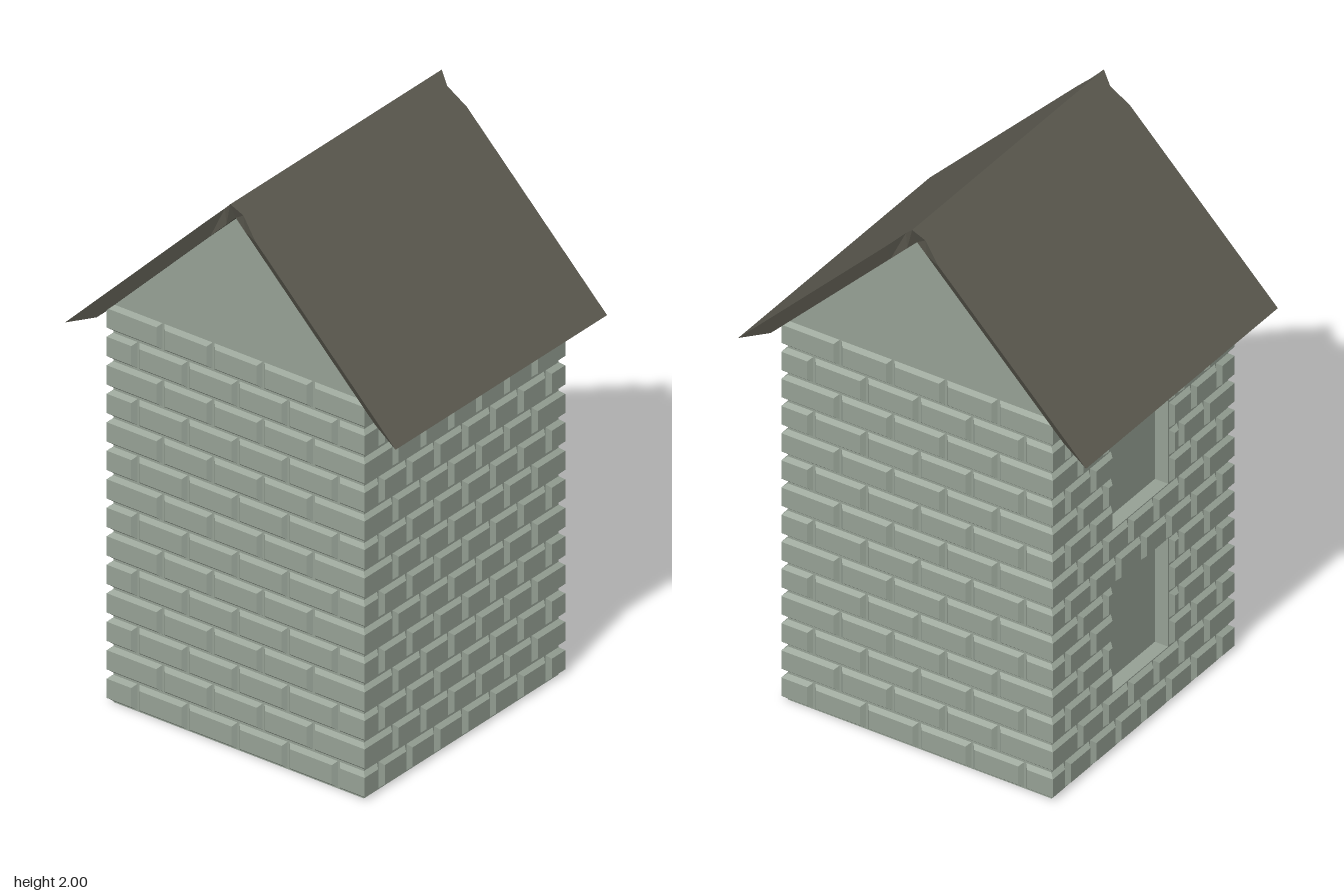
import * as THREE from 'three';

const BASE = 0.5, OUT = 0.515;      // mortar plane and brick face
const ROWS = 14, ROW_H = 1.447 / ROWS;
const NICHE_HALF = 0.16, NICHE_BACK = 0.45;
const NICHES = [[2, 6], [8, 12]];   // first row and end row of each window niche

const stone = new THREE.MeshStandardMaterial({ color: 0x96a195, side: THREE.DoubleSide });
stone.name = 'greyGreenStone';
const slate = new THREE.MeshStandardMaterial({ color: 0x5c5a50, side: THREE.DoubleSide });
slate.name = 'darkSlate';

// Collects quads and triangles into one faceted mesh
function facets(name, material, fill) {
  const p = [];
  const tri = (a, b, c) => p.push(...a, ...b, ...c);
  const quad = (a, b, c, d) => { tri(a, b, c); tri(a, c, d); };
  fill(quad, tri);
  const g = new THREE.BufferGeometry();
  g.setAttribute('position', new THREE.Float32BufferAttribute(p, 3));
  g.computeVertexNormals();
  const m = new THREE.Mesh(g, material);
  m.name = name;
  return m;
}

const rect = (x0, x1, y0, y1, z) => [[x0, y0, z], [x1, y0, z], [x1, y1, z], [x0, y1, z]];

function bridge(quad, outer, inner) {
  for (let i = 0; i < 4; i++) {
    const j = (i + 1) % 4;
    quad(outer[i], outer[j], inner[j], inner[i]);
  }
}

// One brick: mortar border, bevel and raised face; wall ends meet at the corner
function brick(quad, x0, x1, y0, y1) {
  const left = x0 <= -BASE + 1e-4, right = x1 >= BASE - 1e-4;
  const ring = (inset, z) => rect(
    left ? -z : x0 + inset, right ? z : x1 - inset, y0 + inset, y1 - inset, z);
  const mortar = ring(0, BASE), foot = ring(0.004, BASE), face = ring(0.017, OUT);
  bridge(quad, mortar, foot);
  bridge(quad, foot, face);
  quad(...face);
}

// A wall facing +z with running-bond bricks, optionally with two niches
function wall(name, count, niches, angle) {
  const m = facets(name, stone, (quad) => {
    const w = 2 * BASE / count;
    for (let r = 0; r < ROWS; r++) {
      const shift = r % 2 ? 0 : -w / 2;
      const open = niches.some(([a, b]) => r >= a && r < b);
      for (let i = 0; i <= count; i++) {
        const x0 = Math.max(-BASE, -BASE + shift + i * w);
        const x1 = Math.min(BASE, -BASE + shift + (i + 1) * w);
        const spans = open
          ? [[x0, Math.min(x1, -NICHE_HALF)], [Math.max(x0, NICHE_HALF), x1]]
          : [[x0, x1]];
        for (const [a, b] of spans)
          if (b - a > 0.01) brick(quad, a, b, r * ROW_H, (r + 1) * ROW_H);
      }
    }
    // Sill, jambs, head and back of each niche
    for (const [a, b] of niches) {
      const edge = (z) => rect(-NICHE_HALF, NICHE_HALF, a * ROW_H, b * ROW_H, z);
      bridge(quad, edge(BASE), edge(NICHE_BACK));
      quad(...edge(NICHE_BACK));
    }
  });
  m.rotation.y = angle;
  return m;
}

// Plain triangle above the front or back wall
function gable(name, angle) {
  const y = ROWS * ROW_H;
  const m = facets(name, stone, (quad, tri) =>
    tri([-BASE, y, BASE], [BASE, y, BASE], [0, 1.935, BASE]));
  m.rotation.y = angle;
  return m;
}

// Roof slope: notched near the ridge, thinning to its rim
function roofSlope(name, s) {
  // [top x, half depth of the top, underside x]
  const stations = [[0, 0.543, 0], [0.037, 0.523, 0.037], [0.1, 0.543, 0.1], [0.66, 0.543, 0.555]];
  const rings = stations.map(([x, z, u]) => [
    [s * x, 2 - x, z], [s * x, 2 - x, -z],
    [s * u, 1.938 - u, -0.515], [s * u, 1.938 - u, 0.515]]);
  return facets(name, slate, (quad) => {
    const put = (a, b, c, d) => (s > 0 ? quad(a, b, c, d) : quad(d, c, b, a));
    for (let i = 0; i < rings.length - 1; i++) bridge(put, rings[i], rings[i + 1]);
    const e = rings[rings.length - 1];
    put(e[3], e[2], e[1], e[0]);
  });
}

export function createModel() {
  const model = new THREE.Group();
  model.name = 'brickTower';
  model.add(
    wall('frontWall', 5, [], 0),
    wall('leftWall', 7, [], Math.PI / 2),
    wall('backWall', 5, [], Math.PI),
    wall('rightWall', 7, NICHES, -Math.PI / 2),
    gable('frontGable', 0),
    gable('backGable', Math.PI),
    roofSlope('leftRoofSlope', 1),
    roofSlope('rightRoofSlope', -1));
  return model;
}
